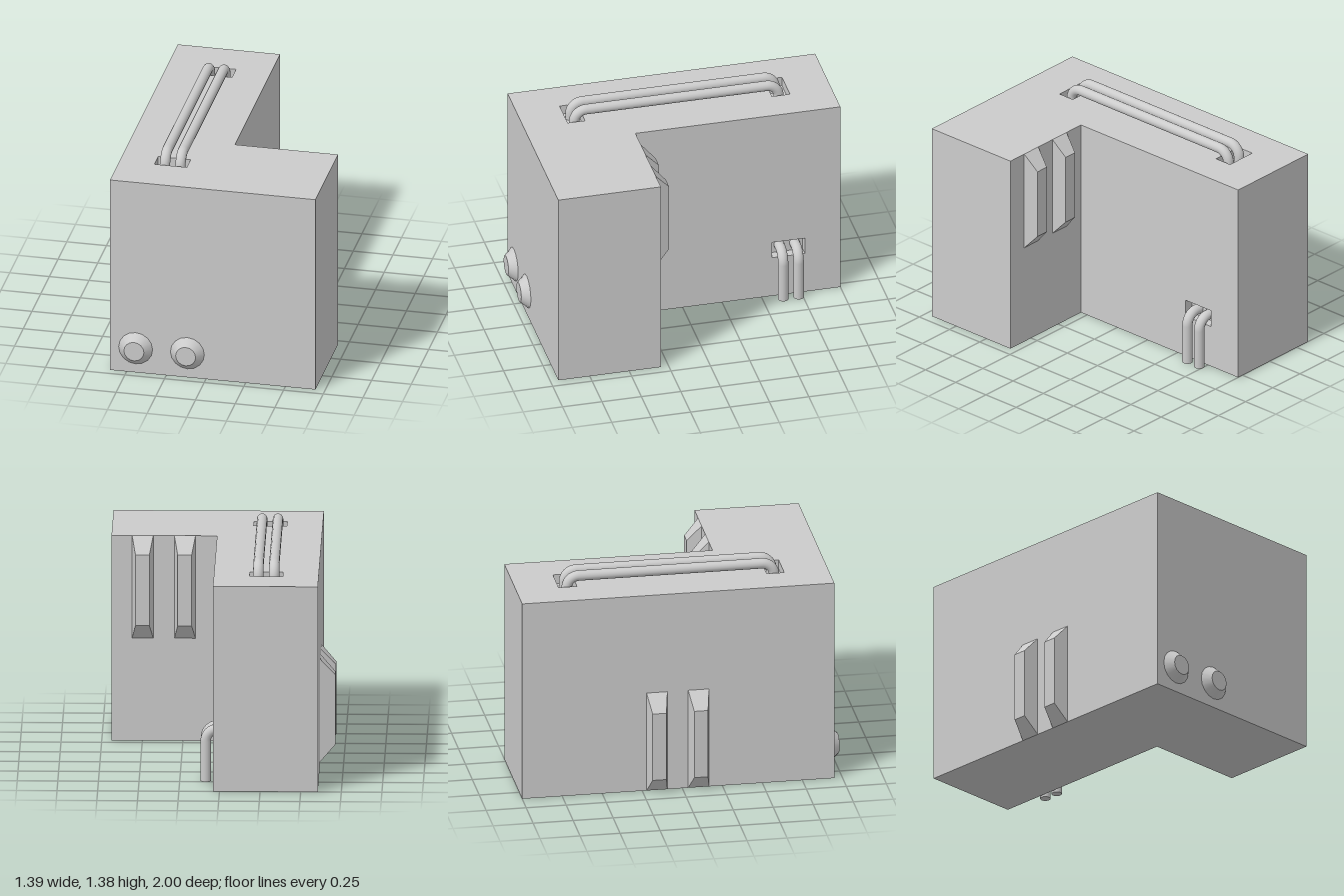
import * as THREE from 'three';

const grey = new THREE.MeshStandardMaterial({ color: 0xcccccc });
const greyDouble = new THREE.MeshStandardMaterial({ color: 0xcccccc, side: THREE.DoubleSide });
const V = (x, y, z) => new THREE.Vector3(x, y, z);
const HEIGHT = 1.3, POCKET = 0.06, PIPE_R = 0.032;

function add(parent, name, geometry, material = grey) {
  const mesh = new THREE.Mesh(geometry, material);
  mesh.name = name;
  parent.add(mesh);
  return mesh;
}

// Flat panel in its own plane; each hole [u0, v0, u1, v1] gets a sunken pocket
function panel(parent, name, points, holes, xAxis, yAxis, origin) {
  const group = new THREE.Group();
  group.name = name;
  const shape = new THREE.Shape(points.map(([u, v]) => new THREE.Vector2(u, v)));
  for (const [u0, v0, u1, v1] of holes) {
    const corners = [[u0, v0], [u0, v1], [u1, v1], [u1, v0]];
    shape.holes.push(new THREE.Path(corners.map(([u, v]) => new THREE.Vector2(u, v))));
    const box = new THREE.BoxGeometry(u1 - u0, v1 - v0, POCKET);
    const index = Array.from(box.index.array);
    index.splice(24, 6); // leave the outer side open
    box.setIndex(index);
    box.clearGroups();
    box.translate((u0 + u1) / 2, (v0 + v1) / 2, -POCKET / 2);
    add(group, 'pocket', box, greyDouble);
  }
  add(group, name + 'Surface', new THREE.ShapeGeometry(shape));
  const basis = new THREE.Matrix4().makeBasis(xAxis, yAxis, xAxis.clone().cross(yAxis));
  group.applyMatrix4(basis.setPosition(origin));
  parent.add(group);
}

// Raised block whose outer face (+z) is smaller than its base
function finGeometry(w, h, depth, sx, sy) {
  const g = new THREE.BoxGeometry(w, h, depth).translate(0, 0, depth / 2);
  const p = g.attributes.position;
  for (let i = 0; i < p.count; i++) {
    if (p.getZ(i) > depth / 2) p.setXY(i, p.getX(i) * sx, p.getY(i) * sy);
  }
  g.computeVertexNormals();
  return g;
}

// Pipe along straight runs with rounded corners
function pipeGeometry(points, bend) {
  const path = new THREE.CurvePath();
  let from = points[0];
  for (let i = 1; i < points.length - 1; i++) {
    const c = points[i];
    const a = c.clone().add(points[i - 1].clone().sub(c).setLength(bend));
    const b = c.clone().add(points[i + 1].clone().sub(c).setLength(bend));
    const k = 0.5523;
    path.add(new THREE.LineCurve3(from, a));
    path.add(new THREE.CubicBezierCurve3(a, a.clone().lerp(c, k), b.clone().lerp(c, k), b));
    from = b;
  }
  path.add(new THREE.LineCurve3(from, points[points.length - 1]));
  return new THREE.TubeGeometry(path, 140, PIPE_R, 16, false);
}

export function createModel() {
  const model = new THREE.Group();
  model.name = 'machineBlock';

  // L-shaped body, outline as [x, z]
  const body = new THREE.Group();
  body.name = 'body';
  model.add(body);
  const outline = [[-0.605, 0.95], [0.69, 0.95], [0.69, 0.3], [0.04, 0.3], [0.04, -1], [-0.605, -1]];
  outline.forEach(([ax, az], i) => {
    const [bx, bz] = outline[(i + 1) % outline.length];
    const along = V(bx - ax, 0, bz - az);
    const len = along.length();
    const holes = i === 3 ? [[0.865, 0.275, 1.075, 0.385]] : [];
    panel(body, 'wall', [[0, 0], [len, 0], [len, HEIGHT], [0, HEIGHT]], holes,
      along.normalize(), V(0, 1, 0), V(ax, 0, az));
  });
  panel(body, 'top', outline.map(([x, z]) => [x, -z]),
    [[-0.385, -0.675, -0.18, -0.565], [-0.385, 0.62, -0.18, 0.735]],
    V(1, 0, 0), V(0, 0, -1), V(0, HEIGHT, 0));
  panel(body, 'base', outline, [], V(1, 0, 0), V(0, 0, 1), V(0, 0, 0));

  // Pair of long pipes over the top
  for (const x of [-0.33, -0.233]) {
    const y0 = HEIGHT - POCKET, y1 = 1.348;
    add(model, 'topPipe', pipeGeometry(
      [V(x, y0, 0.62), V(x, y1, 0.62), V(x, y1, -0.675), V(x, y0, -0.675)], 0.075));
  }

  // Pair of short pipes dropping from the inner wall to the ground
  for (const z of [-0.625, -0.723]) {
    add(model, 'sidePipe', pipeGeometry(
      [V(0.04 - POCKET, 0.328, z), V(0.09, 0.328, z), V(0.09, 0, z)], 0.075));
    add(model, 'sidePipeEnd', new THREE.CircleGeometry(PIPE_R, 16).rotateX(Math.PI / 2))
      .position.set(0.09, 0, z);
  }

  // Tapered fins on the outer wall, low down
  for (const z of [-0.158, 0.102]) {
    const fin = add(model, 'outerFin', finGeometry(0.13, 0.65, 0.093, 0.66, 0.68));
    fin.rotation.y = -Math.PI / 2;
    fin.position.set(-0.605, 0.325, z);
  }

  // Tapered fins on the inner back wall, up to the top edge
  for (const x of [0.238, 0.498]) {
    const fin = add(model, 'innerFin', finGeometry(0.13, 0.65, 0.09, 0.66, 0.69));
    fin.rotation.y = Math.PI;
    fin.position.set(x, 0.975, 0.3);
  }

  // Conical knobs on the front
  for (const x of [-0.443, -0.117]) {
    add(model, 'knob', new THREE.CylinderGeometry(0.063, 0.107, 0.05, 16).rotateX(Math.PI / 2))
      .position.set(x, 0.165, 0.975);
  }

  return model;
}
